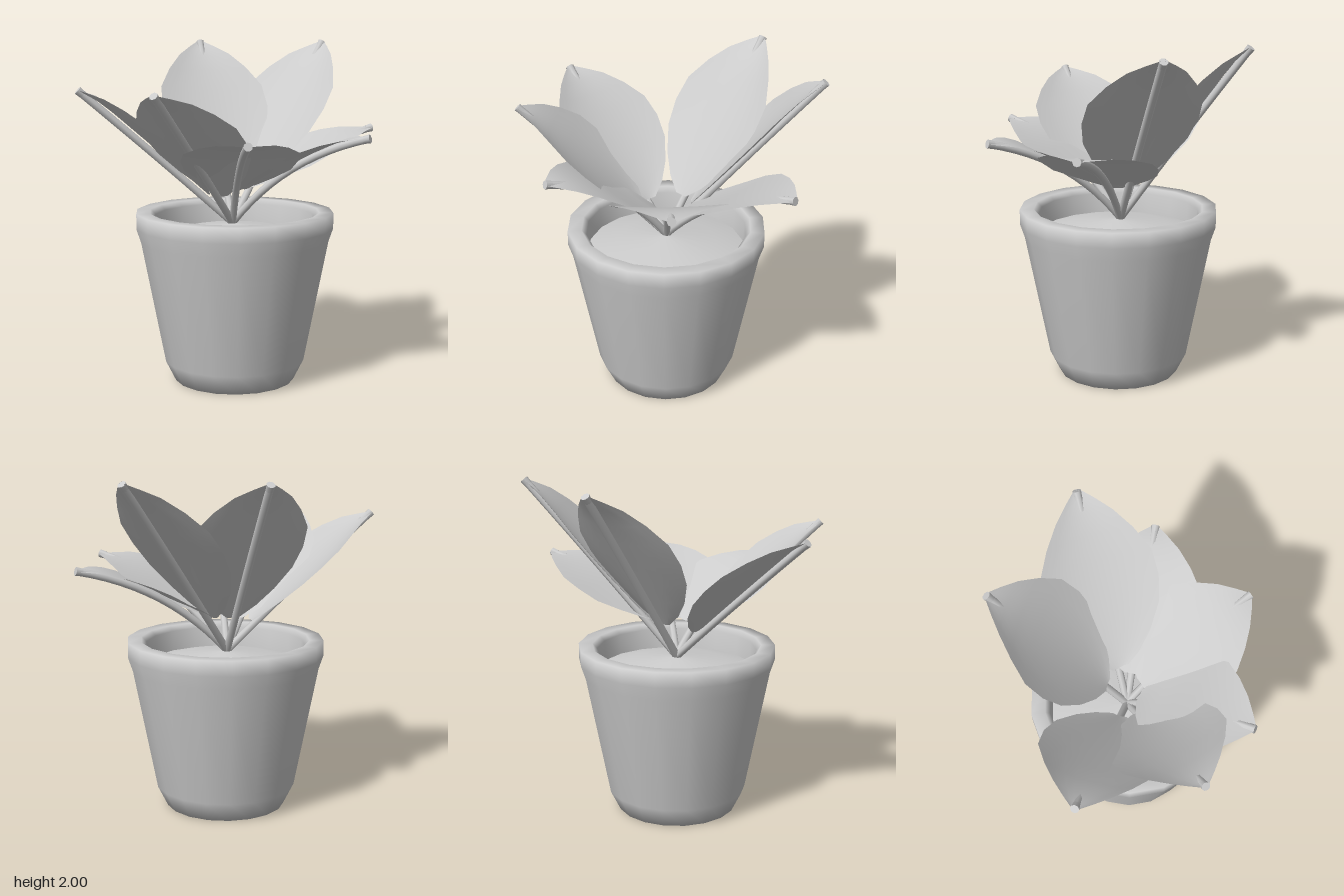
import * as THREE from 'three';

const grey = new THREE.MeshStandardMaterial({ color: 0xcccccc, side: THREE.DoubleSide });
grey.name = 'plain grey';

const V = (x, y, z) => new THREE.Vector3(x, y, z);
const root = V(-0.01, 0.94, 0.01);

// upright leaves are straight and cupped; low leaves have bowed stalks and flatter blades.
// bow: stalk arch, cup: edge curl, lift: blade above stalk, baseLift: extra lift near the root
const upright = { bow: 0.005, cup: 0.05, lift: 0.03, baseLift: 0 };
const low = { bow: 0.085, cup: 0.015, lift: 0.026, baseLift: 0.08 };
const leaves = [
  [[0.08, 1.98, -0.75], upright],
  [[0.77, 1.98, -0.40], upright],
  [[-0.90, 1.73, -0.11], upright],
  [[-0.67, 1.73, 0.53], upright],
  [[-0.23, 1.47, 0.75], low],
  [[0.56, 1.47, 0.62], low],
  [[0.90, 1.47, 0.02], low],
];

// half width of a blade at fractions of the stalk
const outline = [[0.19, 0.04], [0.25, 0.13], [0.34, 0.22], [0.46, 0.3], [0.58, 0.33],
  [0.7, 0.32], [0.81, 0.245], [0.9, 0.16], [0.96, 0.08], [1, 0.02]];

function mesh(geometry, name) {
  const m = new THREE.Mesh(geometry, grey);
  m.name = name;
  return m;
}

function makeLeaf([tip, { bow, cup, lift, baseLift }]) {
  const leaf = new THREE.Group();
  leaf.name = 'leaf';
  const end = V(...tip);
  const axis = end.clone().sub(root).normalize();
  const side = V(axis.z, 0, -axis.x).normalize();
  const up = axis.clone().cross(side).normalize();
  const middle = root.clone().lerp(end, 0.5).addScaledVector(up, 2 * bow);
  const spine = new THREE.QuadraticBezierCurve3(root, middle, end);

  // blade: a grid lofted along the stalk
  const cols = 8, rows = outline.length - 1;
  const blade = new THREE.PlaneGeometry(1, 1, cols, rows);
  const pos = blade.attributes.position;
  outline.forEach(([t, w], r) => {
    const rise = lift * Math.min(1, (1 - t) * 8) + baseLift * Math.max(0, 1 - t / 0.45);
    for (let c = 0; c <= cols; c++) {
      const s = (c / cols) * 2 - 1;
      const p = spine.getPoint(t).addScaledVector(side, s * w)
        .addScaledVector(up, rise + cup * s * s * (w / 0.33));
      pos.setXYZ(r * (cols + 1) + c, p.x, p.y, p.z);
    }
  });
  blade.computeVertexNormals();
  leaf.add(mesh(blade, 'blade'));

  // stalk with a small blunt tip
  leaf.add(mesh(new THREE.TubeGeometry(spine, 12, 0.022, 8), 'stalk'));
  const nub = mesh(new THREE.CylinderGeometry(0.025, 0.022, 0.04, 8), 'leafTip');
  nub.position.copy(spine.getPoint(0.985));
  nub.quaternion.setFromUnitVectors(V(0, 1, 0), spine.getTangent(1));
  leaf.add(nub);
  return leaf;
}

function lathe(points, name) {
  const m = mesh(new THREE.LatheGeometry(points.map(p => new THREE.Vector2(...p)), 18), name);
  m.position.set(-0.003, 0, 0.02);
  return m;
}

export function createModel() {
  const model = new THREE.Group();
  model.name = 'pottedPlant';

  // pot: underside, wall, rounded rim and inner wall in one soft profile
  model.add(lathe([[0, 0], [0.355, 0], [0.415, 0.12], [0.555, 0.84], [0.582, 0.92],
    [0.582, 1.01], [0.5, 1.01], [0.472, 0.98], [0.46, 0.82]], 'pot'));

  // gently mounded soil
  model.add(lathe([[0.465, 0.86], [0.3, 0.9], [0, 0.94]], 'soil'));

  leaves.forEach(l => model.add(makeLeaf(l)));
  return model;
}
